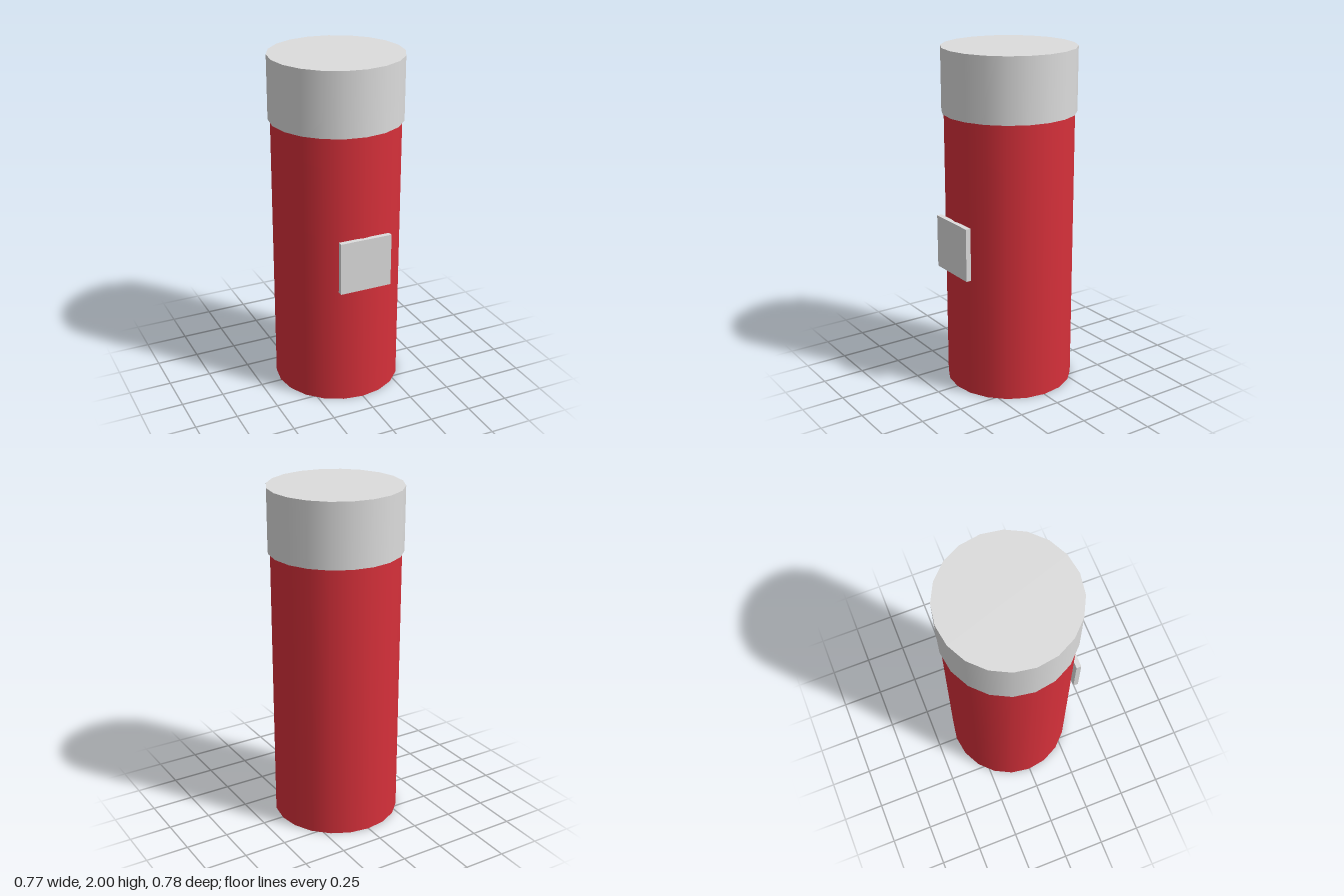
import * as THREE from 'three';

export function createModel() {
  const model = new THREE.Group();
  const red = new THREE.MeshStandardMaterial({ color: 0xd6303a });
  red.name = 'red';
  const lightGrey = new THREE.MeshStandardMaterial({ color: 0xdcdcdc });
  lightGrey.name = 'light grey';

  const SIDES = 20;
  const AXIS_Z = -0.005; // the plate shifts the cylinder axis slightly back

  const addPart = (name, geometry, material, y, z) => {
    const mesh = new THREE.Mesh(geometry, material);
    mesh.name = name;
    mesh.position.set(0, y, z);
    model.add(mesh);
  };

  // Smooth-sided canister standing on the ground
  addPart('body', new THREE.CylinderGeometry(0.373, 0.373, 1.63, SIDES), red, 0.815, AXIS_Z);

  // Slightly wider lid on top
  addPart('lid', new THREE.CylinderGeometry(0.386, 0.386, 0.37, SIDES), lightGrey, 1.815, AXIS_Z);

  // Square plate on the front
  addPart('frontPlate', new THREE.BoxGeometry(0.312, 0.31, 0.03), lightGrey, 0.88, 0.376);

  return model;
}
